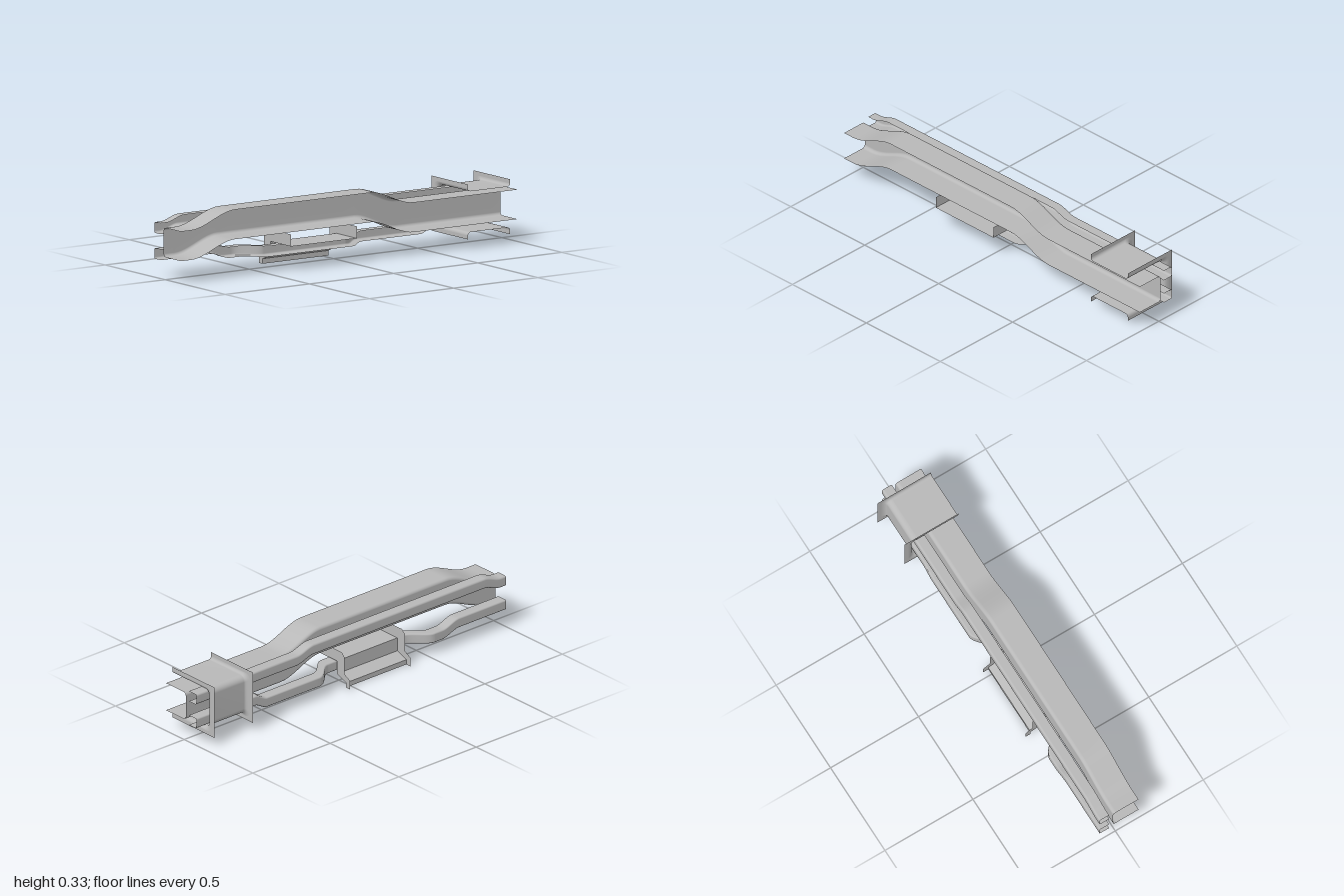
import * as THREE from 'three';

const steel = new THREE.MeshStandardMaterial({ color: 0xb8b8b8, side: THREE.DoubleSide });
steel.name = 'plain grey steel';

function addMesh(group, name, geometry) {
  const mesh = new THREE.Mesh(geometry, steel);
  mesh.name = name;
  group.add(mesh);
}

// Sheet through rows of points, smooth in both directions
function sheet(rows) {
  const n = rows[0].length, index = [];
  for (let i = 0; i < rows.length - 1; i++) {
    for (let j = 0; j < n - 1; j++) {
      const a = i * n + j, b = a + n;
      index.push(a, b, a + 1, b, b + 1, a + 1);
    }
  }
  const g = new THREE.BufferGeometry();
  g.setAttribute('position', new THREE.Float32BufferAttribute(rows.flat(2), 3));
  g.setIndex(index);
  g.computeVertexNormals();
  return g;
}

// C section open to +x with two rounded corners
function cSection(left, right, bottom, top, rx, ry) {
  const pts = [[right, top], [left + rx + 0.002, top]];
  for (let i = 0; i <= 5; i++) {
    const a = Math.PI / 2 * (1 + i / 5);
    pts.push([left + rx + rx * Math.cos(a), top - ry + ry * Math.sin(a)]);
  }
  for (let i = 0; i <= 5; i++) {
    const a = Math.PI / 2 * (2 + i / 5);
    pts.push([left + rx + rx * Math.cos(a), bottom + ry + ry * Math.sin(a)]);
  }
  pts.push([left + rx + 0.002, bottom], [right, bottom]);
  return pts;
}

// Sweep a section along z; keys are [z, x shift, y shift], eased between
function rail(section, keys) {
  const rows = [];
  keys.forEach((k, i) => {
    const next = keys[i + 1];
    const steps = next ? 12 : 1;
    for (let s = 0; s < steps; s++) {
      const t = s / 12, e = t * t * (3 - 2 * t);
      const [z, dx, dy] = next
        ? [k[0] + (next[0] - k[0]) * t, k[1] + (next[1] - k[1]) * e, k[2] + (next[2] - k[2]) * e]
        : k;
      rows.push(section.map(([x, y]) => [x + dx, y + dy, z]));
    }
  });
  return sheet(rows);
}

function plate(points, z) {
  return new THREE.ShapeGeometry(new THREE.Shape(points.map(p => new THREE.Vector2(...p)))).translate(0, 0, z);
}

export function createModel() {
  const model = new THREE.Group();
  model.name = 'railAssembly';

  // Three long pressed rails
  addMesh(model, 'mainRail', rail(cSection(-0.012, 0.132, 0.11, 0.255, 0.017, 0.016),
    [[1, 0, 0], [0.94, 0, 0], [0.68, 0, 0.075], [-0.13, 0, 0.075], [-0.38, 0, 0], [-1, 0, 0]]));
  addMesh(model, 'upperSideRail', rail(cSection(-0.09, -0.035, 0.218, 0.272, 0.01, 0.01),
    [[1, 0, 0], [0.97, 0, 0], [0.86, 0, 0.028], [-0.24, 0, 0.028], [-0.35, 0, 0], [-1, 0, 0]]));
  addMesh(model, 'lowerSideRail', rail(cSection(-0.09, -0.035, 0.06, 0.112, 0.008, 0.008),
    [[1, 0, 0.031], [0.7, 0, 0.031], [0.59, 0, 0], [0.54, 0, 0], [0.41, 0.085, 0], [-0.07, 0.085, 0],
      [-0.2, 0, 0], [-0.54, 0, 0], [-0.62, 0, 0.031], [-1, 0, 0.031]]));

  // Clamp: a channel bent into a C, its base inside and its walls turned outward
  const clamp = new THREE.Group();
  clamp.name = 'rearClamp';
  model.add(clamp);
  const clampPath = e => cSection(-0.105 - 0.025 * e, 0.153, 0.08 - 0.016 * e, 0.28 + 0.015 * e, 0.03, 0.03);
  const halfProfile = [[0.125, 1], [0.124, 0.62], [0.12, 0.29], [0.115, 0.08], [0.108, 0]];
  const profile = [...halfProfile, ...halfProfile.map(([z, e]) => [-z, e]).reverse()];
  addMesh(clamp, 'clampBase', sheet(profile.map(([z, e]) => clampPath(e).map(([x, y]) => [x, y, z - 0.815]))));
  for (const z of [-0.69, -0.94]) {
    addMesh(clamp, 'clampWall', plate(
      [...clampPath(1), [0.153, 0.045], [-0.152, 0.045], [-0.152, 0.315], [0.153, 0.315]], z));
  }

  // Hanger: stepped sheet around the lower rail with a plate at each end
  const hanger = new THREE.Group();
  hanger.name = 'lowerHanger';
  model.add(hanger);
  const step = [[0.152, 0.119], [-0.02, 0.119], [-0.02, 0.05], [-0.085, 0.025], [-0.085, 0]];
  for (let i = 0; i < step.length - 1; i++) {
    addMesh(hanger, 'hangerSheet', sheet([-0.03, 0.36].map(z => [step[i], step[i + 1]].map(p => [...p, z]))));
  }
  for (const z of [-0.03, 0.36]) {
    addMesh(hanger, 'hangerEndPlate', plate(
      [...step, [-0.115, 0], [-0.115, 0.047], [-0.075, 0.068], [-0.075, 0.157], [-0.055, 0.178], [0.152, 0.178]], z));
  }
  return model;
}
